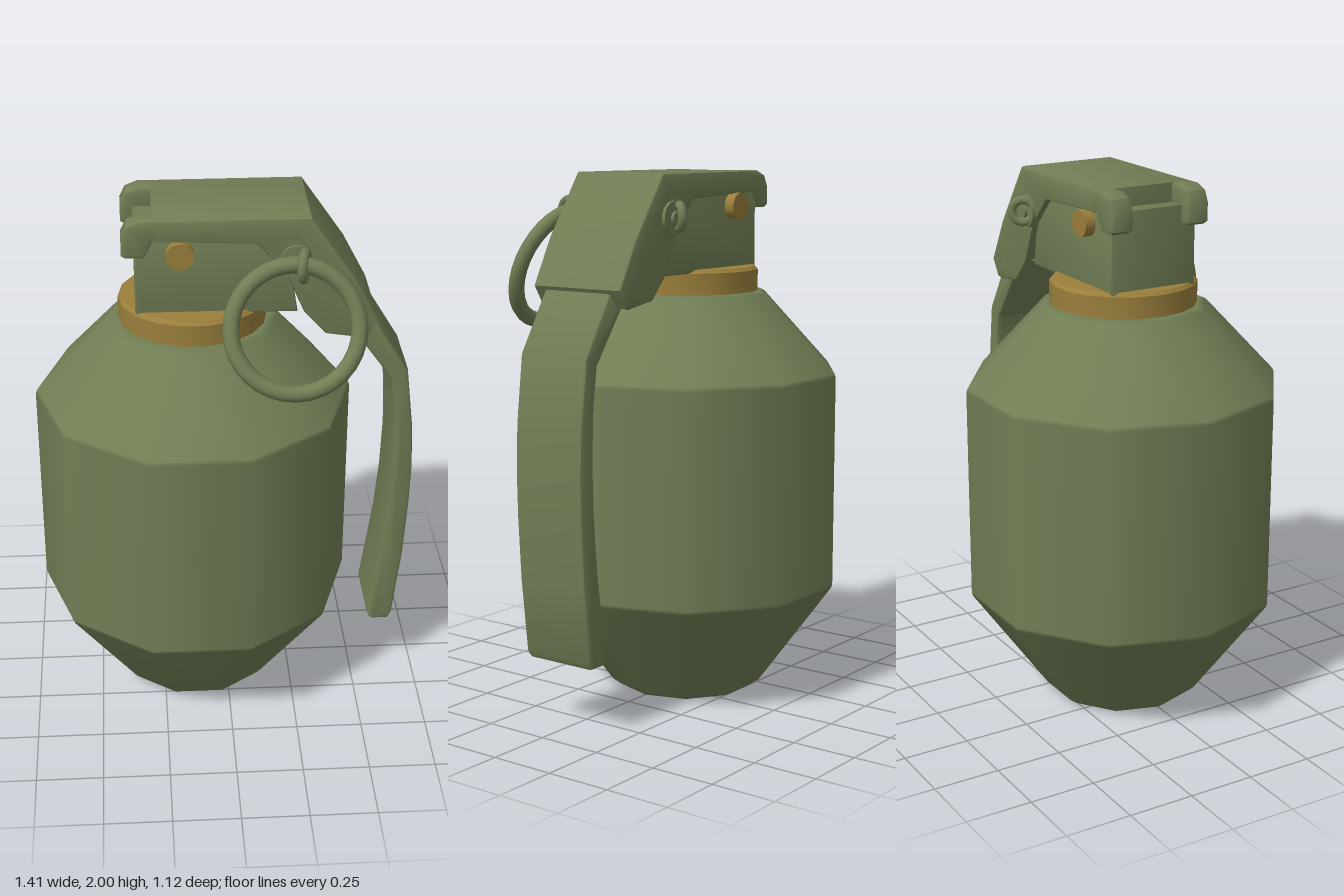
import * as THREE from 'three';
import { toCreasedNormals } from 'three/addons/utils/BufferGeometryUtils.js';

export function createModel() {
  const group = new THREE.Group();
  const green = new THREE.MeshStandardMaterial({ color: 0x717e55 });
  green.name = 'olive green';
  const brass = new THREE.MeshStandardMaterial({ color: 0x9a7f3c });
  brass.name = 'brass';
  const axisX = -0.12; // centre line of body and neck

  const add = (name, geometry, material, x = 0, y = 0, z = 0) => {
    const mesh = new THREE.Mesh(geometry, material);
    mesh.name = name;
    mesh.position.set(x, y, z);
    group.add(mesh);
    return mesh;
  };
  const vectors = (pts) => pts.map(([x, y]) => new THREE.Vector2(x, y));
  const lathe = (pts, sides) => new THREE.LatheGeometry(vectors(pts), sides, Math.PI / 2);

  // Side profile extruded across z, from z0 to z1, with softened edges
  const plate = (pts, z0, z1, bevel = 0.012) => {
    const geo = new THREE.ExtrudeGeometry(new THREE.Shape(vectors(pts)), {
      depth: z1 - z0 - 2 * bevel, bevelEnabled: true, bevelThickness: bevel,
      bevelSize: bevel, bevelOffset: -bevel, bevelSegments: 2,
    });
    geo.translate(0, 0, z0 + bevel);
    return toCreasedNormals(geo, 0.6);
  };

  // Ten-sided body with smooth shading
  add('body', lathe([[0, 0], [0.265, 0], [0.3, 0.025], [0.585, 0.42], [0.59, 0.435],
    [0.59, 1.235], [0.585, 1.25], [0.315, 1.54], [0.29, 1.55], [0, 1.55]], 10), green, axisX);

  // Neck collar
  add('collar', toCreasedNormals(lathe([[0, 1.53], [0.272, 1.53], [0.272, 1.63],
    [0.26, 1.643], [0, 1.643]], 18), 0.6), brass, axisX);

  // Fuze block between collar and cap
  add('fuzeBlock', plate([[-0.33, 1.63], [0.25, 1.63], [0.2, 1.93], [-0.33, 1.93]],
    -0.175, 0.175), green);

  // Cap: bent roof strip with two side skirts
  add('capRoof', plate([[-0.265, 1.92], [0.24, 1.91], [0.39, 1.72], [0.47, 1.55], [0.5, 1.535],
    [0.54, 1.6], [0.45, 1.77], [0.29, 2], [-0.265, 2]], -0.2, 0.2), green);
  for (const side of [1, -1]) {
    const [z0, z1] = side > 0 ? [0.165, 0.2] : [-0.2, -0.165];
    add('capSkirt', plate([[-0.27, 1.92], [0.1, 1.905], [0.2, 1.8], [0.27, 1.64], [0.35, 1.55],
      [0.48, 1.53], [0.54, 1.6], [0.45, 1.77], [0.29, 2], [-0.27, 2]], z0, z1), green);

    // Hook prongs at the hinge end
    const [h0, h1] = side > 0 ? [0.113, 0.2] : [-0.2, -0.113];
    add('hingeHook', plate([[-0.375, 1.87], [-0.36, 1.86], [-0.295, 1.86], [-0.265, 1.92],
      [-0.22, 1.93], [-0.22, 2], [-0.31, 2], [-0.355, 1.982], [-0.375, 1.94]], h0, h1), green);
  }

  // Hinge pin showing on both sides
  add('hingePin', new THREE.CylinderGeometry(0.05, 0.05, 0.43, 14), brass,
    -0.17, 1.87).rotation.x = Math.PI / 2;

  // Curved safety lever
  add('lever', plate([[0.42, 1.6], [0.47, 1.52], [0.6, 1.34], [0.62, 1.2], [0.628, 1.0],
    [0.622, 0.8], [0.605, 0.6], [0.56, 0.27], [0.575, 0.25], [0.64, 0.25], [0.655, 0.275],
    [0.685, 0.55], [0.698, 0.78], [0.702, 0.95], [0.695, 1.12], [0.665, 1.37],
    [0.53, 1.59]], -0.15, 0.155, 0.015), green);

  // Safety pin through the cap, with washers and end loops
  add('safetyPin', new THREE.CylinderGeometry(0.025, 0.025, 0.45, 10), green,
    0.24, 1.84).rotation.x = Math.PI / 2;
  for (const z of [0.203, -0.203]) {
    add('pinWasher', new THREE.CylinderGeometry(0.062, 0.062, 0.02, 14), green,
      0.24, 1.84, z).rotation.x = Math.PI / 2;
  }
  add('frontLoop', new THREE.TorusGeometry(0.047, 0.018, 8, 16), green,
    0.26, 1.85, 0.262).rotation.y = Math.PI / 2 - 0.25;
  add('backLoop', new THREE.TorusGeometry(0.042, 0.017, 8, 16), green,
    0.23, 1.845, -0.225).rotation.y = 0.9;

  // Pull ring hanging outward at a slant
  add('pullRing', new THREE.TorusGeometry(0.226, 0.03, 10, 32), green,
    0.225, 1.645, 0.345).rotation.x = -0.38;

  return group;
}
